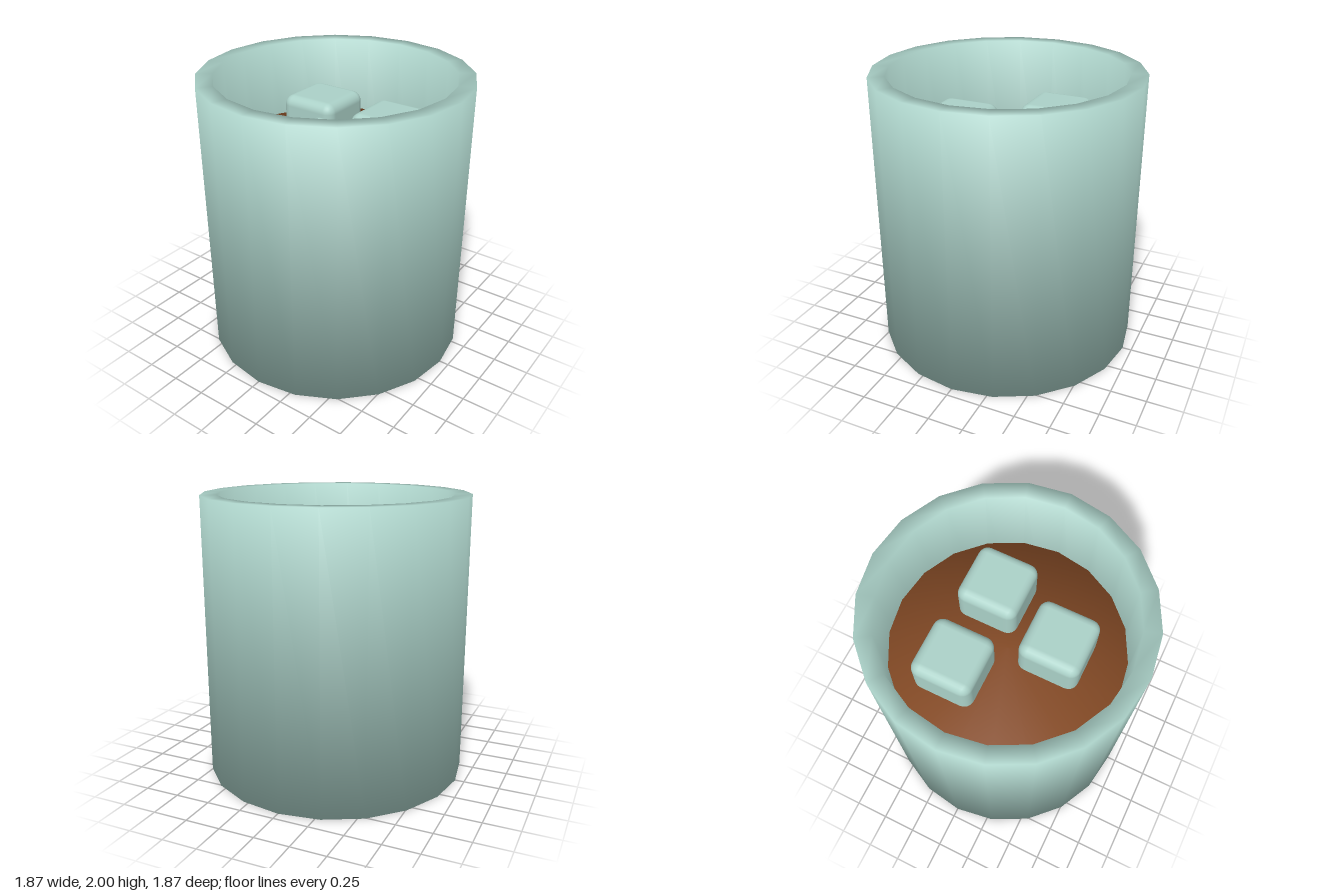
import * as THREE from 'three';
import { RoundedBoxGeometry } from 'three/addons/geometries/RoundedBoxGeometry.js';

const SIDES = 20;
const OUTER = 0.935, INNER = 0.82;

// Turn a profile and blend the normals softly across its corners
function softLathe(points, outward) {
  const geo = new THREE.LatheGeometry(points.map(([r, y]) => new THREE.Vector2(r, y)), SIDES);
  const pos = geo.attributes.position, nor = geo.attributes.normal;
  const ys = points.map((p) => p[1]);
  const mid = (Math.min(...ys) + Math.max(...ys)) / 2;
  const n = new THREE.Vector3();
  for (let i = 0; i < pos.count; i++) {
    n.set(pos.getX(i), 0, pos.getZ(i));
    const r = n.length();
    if (r > 1e-4) n.multiplyScalar(outward(r) / r);
    n.y = Math.sign(pos.getY(i) - mid);
    n.normalize();
    nor.setXYZ(i, n.x, n.y, n.z);
  }
  return geo;
}

export function createModel() {
  const model = new THREE.Group();
  model.name = 'drinkCup';
  const paleTeal = new THREE.MeshStandardMaterial({ color: 0xabd1c8 });
  paleTeal.name = 'paleTeal';
  const brown = new THREE.MeshStandardMaterial({ color: 0x844a25 });
  brown.name = 'brown';

  const add = (name, geometry, material) => {
    const mesh = new THREE.Mesh(geometry, material);
    mesh.name = name;
    model.add(mesh);
    return mesh;
  };

  // Thick cup wall, open at both ends
  add('cupWall', softLathe(
    [[INNER, 0], [OUTER, 0], [OUTER, 2], [INNER, 2], [INNER, 0]],
    (r) => (r > 0.88 ? 1 : -1)
  ), paleTeal);

  // Drink filling, with a hair of clearance to the wall
  add('drink', softLathe(
    [[0, 0.1], [0.81, 0.1], [0.81, 1.45], [0, 1.45]],
    () => 1
  ), brown);

  // Floating ice cubes
  const cube = new RoundedBoxGeometry(0.43, 0.43, 0.43, 3, 0.07);
  [[0.25, -0.29], [0.222, 0.305], [-0.312, 0.12]].forEach(([x, z], i) => {
    add('iceCube' + (i + 1), cube, paleTeal).position.set(x, 1.515, z);
  });

  return model;
}
